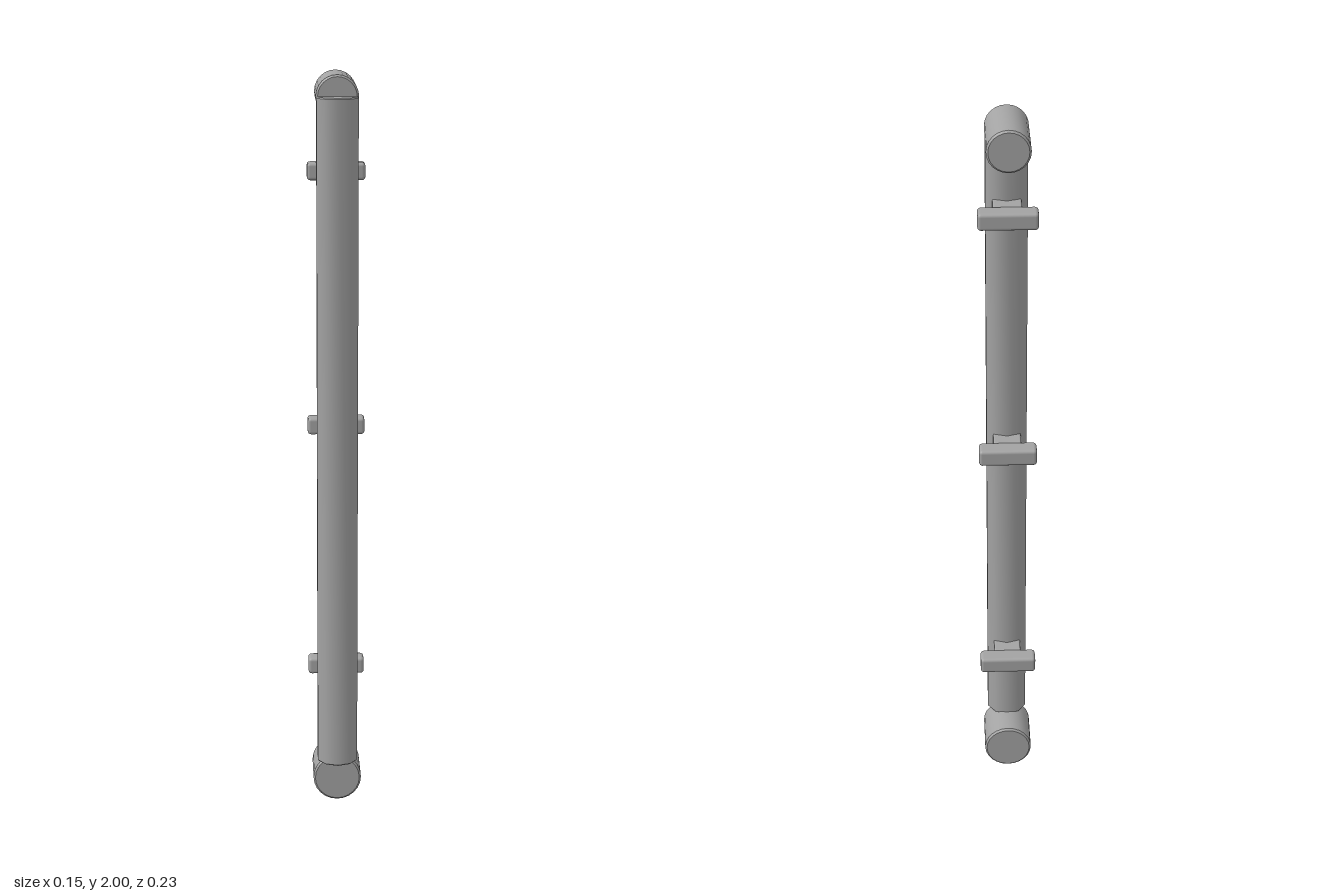
import * as THREE from 'three';
import { toCreasedNormals } from 'three/addons/utils/BufferGeometryUtils.js';
import { RoundedBoxGeometry } from 'three/addons/geometries/RoundedBoxGeometry.js';

// Solid round bar along y, with small chamfers on both rims
function bar(radius, length, bevel, sides) {
  const h = length / 2;
  const profile = [
    [0, -h], [radius - bevel, -h], [radius, -h + bevel],
    [radius, h - bevel], [radius - bevel, h], [0, h],
  ].map(([x, y]) => new THREE.Vector2(x, y));
  return toCreasedNormals(new THREE.LatheGeometry(profile, sides), 0.68);
}

export function createModel() {
  const group = new THREE.Group();
  const metal = new THREE.MeshStandardMaterial({ color: 0xa3a3a3 });
  metal.name = 'grey metal';

  function add(name, geometry, y, z, parent = group) {
    const mesh = new THREE.Mesh(geometry, metal);
    mesh.name = name;
    mesh.position.set(0, y, z);
    parent.add(mesh);
    return mesh;
  }

  // Long upright grip
  add('grip', bar(0.057, 1.82, 0.003, 10), 1.035, 0.057);

  // Round mounts running back from each end
  add('topMount', bar(0.056, 0.172, 0.005, 24), 1.944, -0.029).rotation.x = Math.PI / 2;
  add('bottomMount', bar(0.066, 0.137, 0.005, 24), 0.067, -0.0115).rotation.x = Math.PI / 2;

  // Three T-shaped clips on the back of the grip
  for (const y of [0.363, 1.052, 1.741]) {
    const clip = new THREE.Group();
    clip.name = 'clip';
    clip.position.y = y;
    add('clipStem', new RoundedBoxGeometry(0.074, 0.044, 0.053, 2, 0.005), 0, -0.0075, clip);
    add('clipBar', new RoundedBoxGeometry(0.154, 0.046, 0.051, 2, 0.009), 0, -0.0565, clip);
    group.add(clip);
  }
  return group;
}
